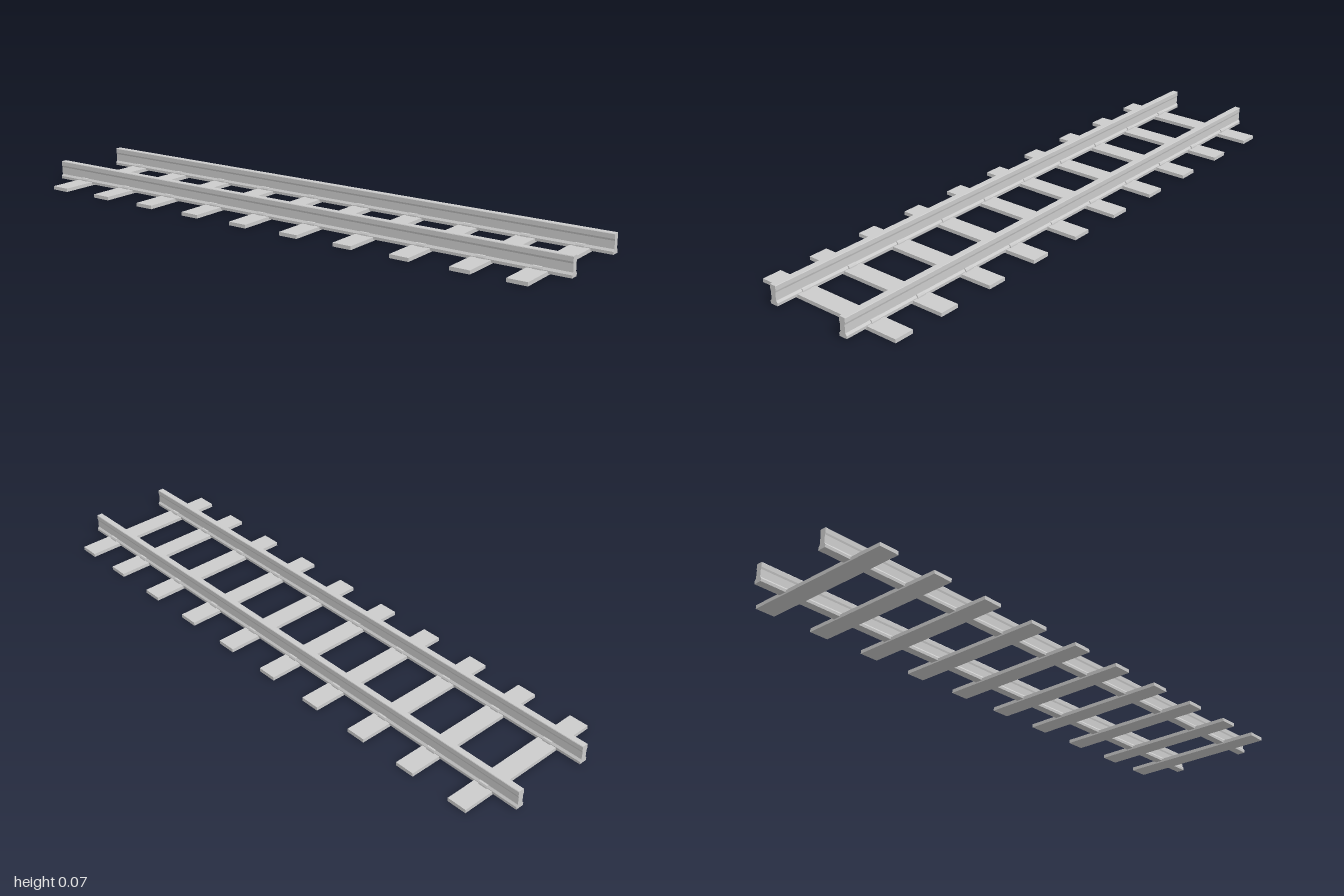
import * as THREE from 'three';

const material = new THREE.MeshStandardMaterial({ color: 0xcccccc, flatShading: true });

// Extrudes a cross-section in x/y along z, centred on z = 0
function extrudeAlongZ(points, length) {
  const shape = new THREE.Shape(points.map(([x, y]) => new THREE.Vector2(x, y)));
  const geometry = new THREE.ExtrudeGeometry(shape, { depth: length, bevelEnabled: false });
  return geometry.translate(0, 0, -length / 2);
}

// Mirrors a half profile (listed bottom to top, x > 0) into a closed outline
function symmetric(half) {
  return [...half, ...half.slice().reverse().map(([x, y]) => [-x, y])];
}

function addMesh(parent, name, geometry, x, y, z) {
  const mesh = new THREE.Mesh(geometry, material);
  mesh.name = name;
  mesh.position.set(x, y, z);
  parent.add(mesh);
}

export function createModel() {
  const model = new THREE.Group();
  model.name = 'railwayTrack';
  const railX = [-0.133, 0.144];

  // Rails: flat foot, thick web and slightly wider head
  const railGeometry = extrudeAlongZ(symmetric([
    [0.014, 0.005], [0.0145, 0.014], [0.0095, 0.021], [0.0092, 0.046],
    [0.0108, 0.052], [0.0108, 0.066], [0.0095, 0.068],
  ]), 2);
  railX.forEach((x) => addMesh(model, 'rail', railGeometry, x, 0, 0));

  // Sleepers, with the last gap a little shorter, and a chair under each rail
  const sleeperGeometry = new THREE.BoxGeometry(0.534, 0.012, 0.066);
  const chairGeometry = extrudeAlongZ(symmetric([
    [0.018, 0.011], [0.0175, 0.016], [0.015, 0.021], [0.012, 0.022],
  ]), 0.03);
  for (let i = 0; i < 10; i++) {
    const z = i < 9 ? -0.88 + i * 0.1997 : 0.895;
    addMesh(model, 'sleeper', sleeperGeometry, 0, 0.006, z);
    railX.forEach((x) => addMesh(model, 'railChair', chairGeometry, x, 0, z));
  }
  return model;
}
